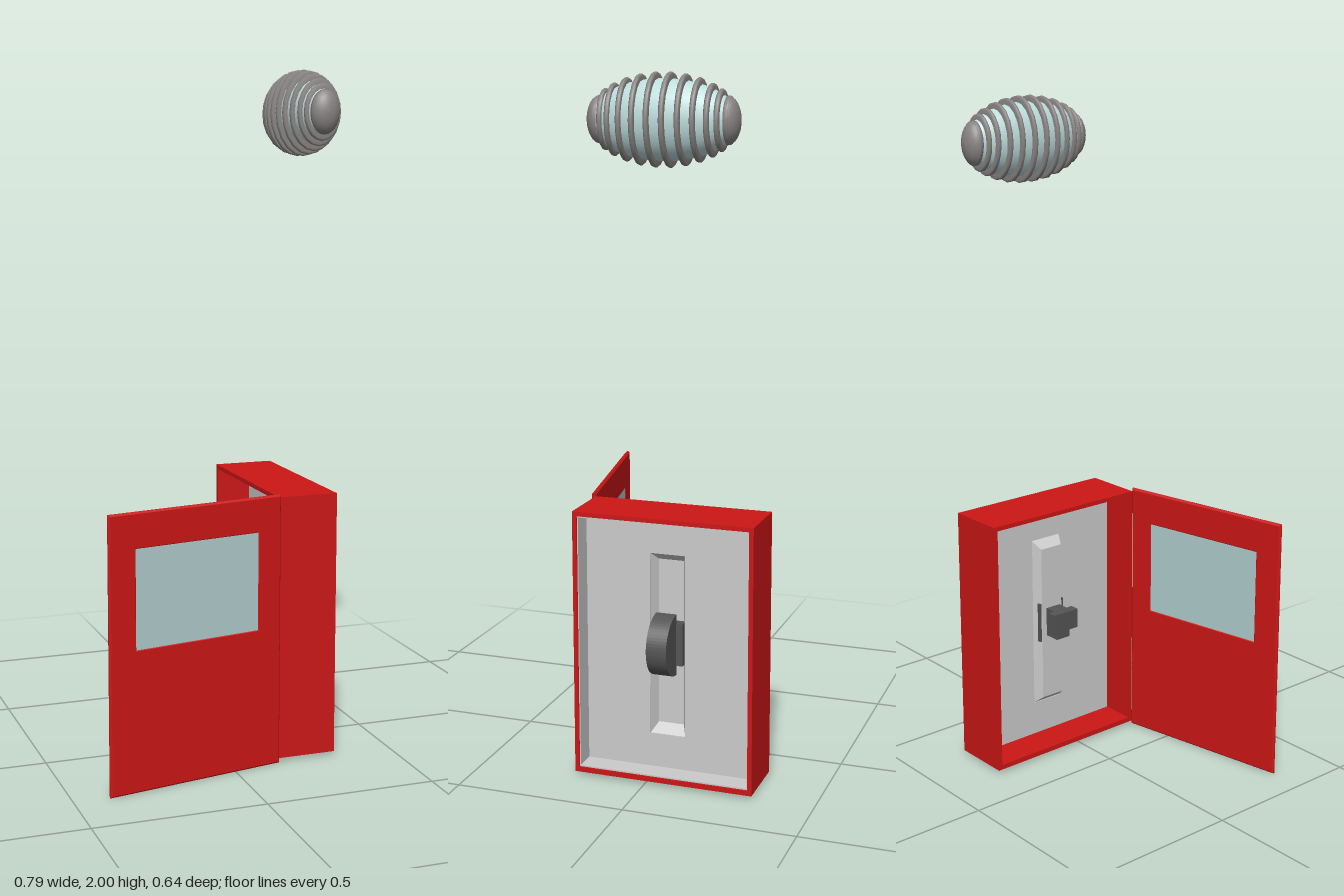
import * as THREE from 'three';

const mat = (color) => new THREE.MeshStandardMaterial({ color, side: THREE.DoubleSide });
const RED = mat(0xcc1616), GREY = mat(0xcccccc), DARK = mat(0x555555);
const GLASS = mat(0xb0cccc), SHELL = mat(0xbcdcda), RING = mat(0x8a8585);

function add(parent, name, geometry, material, x = 0, y = 0, z = 0) {
  const mesh = new THREE.Mesh(geometry, material);
  mesh.name = name;
  mesh.position.set(x, y, z);
  parent.add(mesh);
  return mesh;
}

function rect(path, a0, a1, b0, b1) {
  path.moveTo(a0, b0);
  path.lineTo(a1, b0);
  path.lineTo(a1, b1);
  path.lineTo(a0, b1);
  path.closePath();
  return path;
}

// Rectangular sheet with a rectangular hole; each rectangle is [a0, a1, b0, b1]
function holed(outer, inner, depth, bevel = 0) {
  const shape = rect(new THREE.Shape(), ...outer);
  shape.holes.push(rect(new THREE.Path(), ...inner));
  return new THREE.ExtrudeGeometry(shape, {
    depth, bevelEnabled: bevel > 0, bevelSize: bevel, bevelThickness: bevel,
    bevelOffset: -bevel, bevelSegments: 1,
  });
}

// The same sheet standing across x; rectangles are [z0, z1, y0, y1]
function across([z0, z1, y0, y1], [h0, h1, v0, v1], depth) {
  return holed([-z1, -z0, y0, y1], [-h1, -h0, v0, v1], depth).rotateY(Math.PI / 2);
}

function makeCabinet() {
  const g = new THREE.Group();
  g.name = 'cabinet';
  add(g, 'casing', across([-0.32, 0.213, 0.01, 0.79], [-0.307, 0.2, 0.025, 0.777], 0.18), RED, 0.142);
  // Grey tray: side lining and slotted plate
  add(g, 'trayWalls', across([-0.308, 0.201, 0.024, 0.778], [-0.304, 0.197, 0.029, 0.773], 0.07), GREY, 0.248);
  add(g, 'plate', across([-0.307, 0.2, 0.025, 0.777], [-0.1, 0.005, 0.13, 0.67], 0.006), GREY, 0.248);

  // Slot housing: an open pan that tapers towards the door side
  const pan = new THREE.BoxGeometry(0.03, 0.54, 0.105);
  const p = pan.attributes.position;
  for (let i = 0; i < p.count; i++) {
    if (p.getX(i) < 0) p.setXYZ(i, p.getX(i), p.getY(i) * 0.91, p.getZ(i) * 0.72);
  }
  pan.setIndex([...pan.index.array].slice(6));
  pan.computeVertexNormals();
  add(g, 'slotHousing', pan, GREY, 0.236, 0.4, -0.0475);
  return g;
}

function makeSwitch() {
  const g = new THREE.Group();
  g.name = 'switch';
  g.position.set(0.25, 0.405, -0.043);
  // Half wheel behind the plate
  const wheel = new THREE.Shape();
  wheel.absarc(0, 0, 0.09, -Math.PI / 2, Math.PI / 2);
  wheel.closePath();
  const half = new THREE.ExtrudeGeometry(wheel, { depth: 0.06, bevelEnabled: false, curveSegments: 16 });
  add(g, 'halfWheel', half.translate(0, 0, -0.03), DARK);
  add(g, 'axleBlock', new THREE.BoxGeometry(0.03, 0.125, 0.09), DARK, -0.012, 0, -0.004);
  // Lever and grip on the door side
  add(g, 'lever', new THREE.BoxGeometry(0.06, 0.09, 0.05), DARK, -0.05, 0, 0);
  add(g, 'grip', new THREE.BoxGeometry(0.03, 0.06, 0.09), DARK, -0.08, 0.015, 0);
  return g;
}

function makeDoor() {
  const g = new THREE.Group();
  g.name = 'door';
  g.position.set(0.143, 0, 0.211);
  g.rotation.y = 0.184;
  const window = [-0.465, -0.079, 0.415, 0.695];
  add(g, 'doorPanel', holed([-0.55, 0, 0, 0.8], window, 0.004, 0.005), RED, 0, 0, 0.005);
  add(g, 'windowPane', new THREE.BoxGeometry(0.396, 0.29, 0.01), GLASS, -0.272, 0.555, 0.007);
  return g;
}

function makeCapsule() {
  const g = new THREE.Group();
  g.name = 'ribbedCapsule';
  g.position.set(0.31, 1.875, -0.058);
  g.scale.set(0.69, 1, 1);
  const HALF = 0.213, R = 0.125;
  const radius = (z) => R * Math.sqrt(Math.max(0, 1 - (z / HALF) ** 2));
  // Lathe a profile of [radius, z] pairs around the z axis
  const lathe = (pts) => new THREE.LatheGeometry(
    pts.map(([r, z]) => new THREE.Vector2(r, z)), 20).rotateX(Math.PI / 2);

  const body = [];
  for (let i = 0; i <= 16; i++) {
    const z = -0.19 + 0.38 * i / 16;
    body.push([radius(z) * 0.86, z]);
  }
  add(g, 'body', lathe(body), SHELL);

  // Rounded end caps
  for (const s of [-1, 1]) {
    const cap = [];
    for (let i = 0; i <= 6; i++) {
      const a = (i / 6) * Math.PI / 2;
      cap.push([0.064 * Math.cos(a), s * (0.178 + 0.035 * Math.sin(a))]);
    }
    cap.unshift([0.05, s * 0.17]);
    if (s < 0) cap.reverse();
    add(g, s > 0 ? 'frontCap' : 'backCap', lathe(cap), RING);
  }

  // Raised ribs follow the egg outline
  for (const z of [-0.184, -0.162, -0.137, -0.102, -0.063, -0.021, 0.021, 0.063, 0.102, 0.137, 0.162]) {
    const r = radius(z), w = 0.007, inner = r * 0.8;
    add(g, 'rib', lathe([
      [inner, z - w], [r - 0.005, z - w], [r, z - w / 2],
      [r, z + w / 2], [r - 0.005, z + w], [inner, z + w],
    ]), RING);
  }
  return g;
}

export function createModel() {
  const model = new THREE.Group();
  model.name = 'switchCabinetAndCapsule';
  model.add(makeCabinet(), makeSwitch(), makeDoor(), makeCapsule());
  return model;
}
